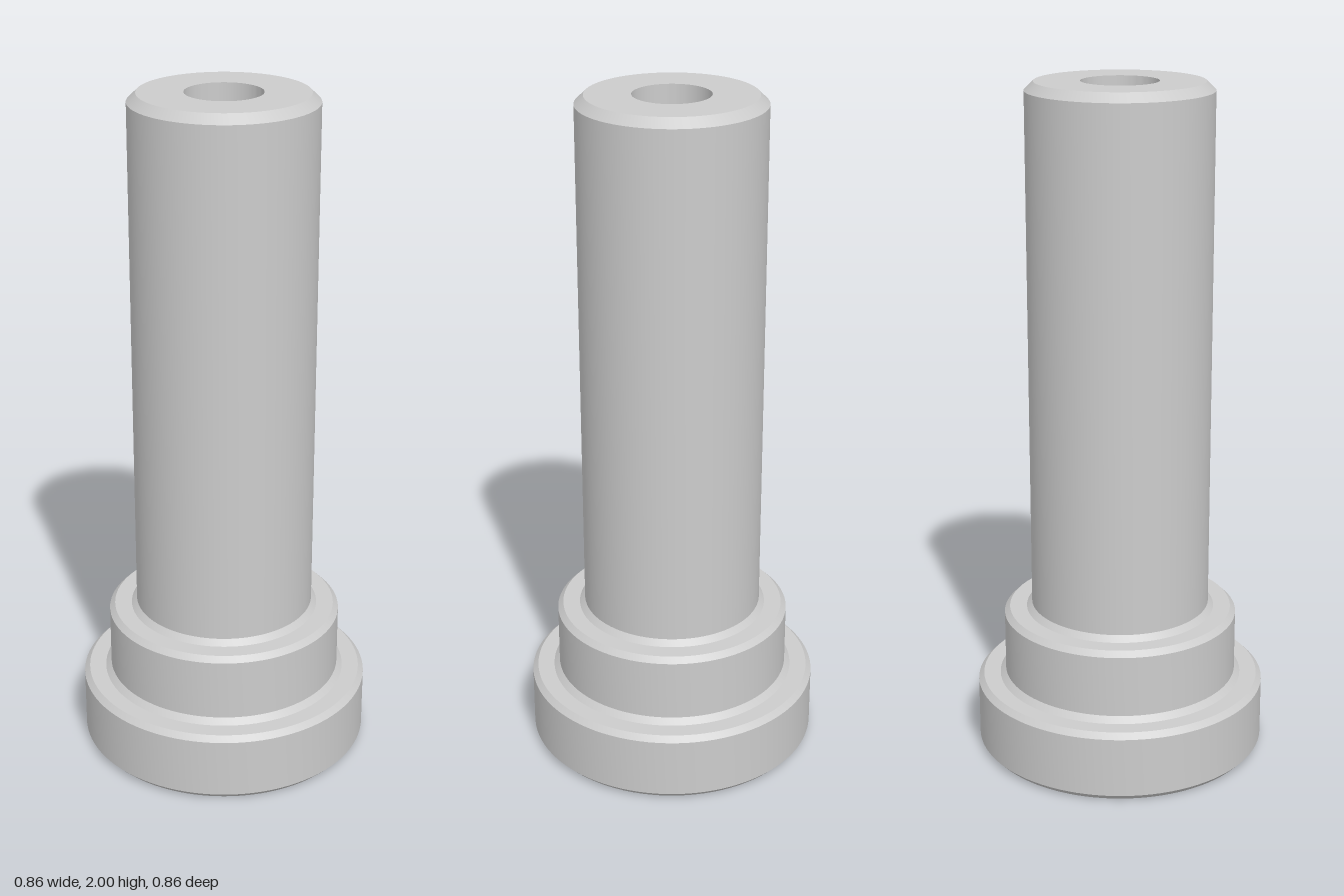
import * as THREE from 'three';
import { toCreasedNormals } from 'three/addons/utils/BufferGeometryUtils.js';

const SEGMENTS = 96;

// Each part is a [radius, height] profile; together they form one closed solid of revolution.
const PROFILES = {
  // blind hole with a wider counterbore, opening downwards
  bottomBore: [[0, 0.5], [0.11, 0.5], [0.11, 0.078], [0.168, 0.078], [0.168, 0]],
  // wide foot, chamfered on both rims
  baseFlange: [[0.168, 0], [0.415, 0], [0.432, 0.018], [0.432, 0.198], [0.416, 0.214], [0.366, 0.214]],
  // middle step with a sloped foot and a chamfered top
  collar: [[0.366, 0.214], [0.349, 0.231], [0.349, 0.415], [0.333, 0.431], [0.282, 0.431]],
  // long shaft with a chamfered tip
  shaft: [[0.282, 0.431], [0.266, 0.448], [0.266, 1.975], [0.24, 2], [0.11, 2]],
  // blind hole in the tip
  topBore: [[0.11, 2], [0.11, 1.5], [0, 1.5]],
};

export function createModel() {
  const group = new THREE.Group();
  group.name = 'steppedPin';
  const material = new THREE.MeshStandardMaterial({ color: 0xcccccc });

  for (const [name, profile] of Object.entries(PROFILES)) {
    const points = profile.map(([r, y]) => new THREE.Vector2(r, y));
    const lathe = new THREE.LatheGeometry(points, SEGMENTS);
    const mesh = new THREE.Mesh(toCreasedNormals(lathe, Math.PI / 6), material);
    mesh.name = name;
    group.add(mesh);
  }
  return group;
}
